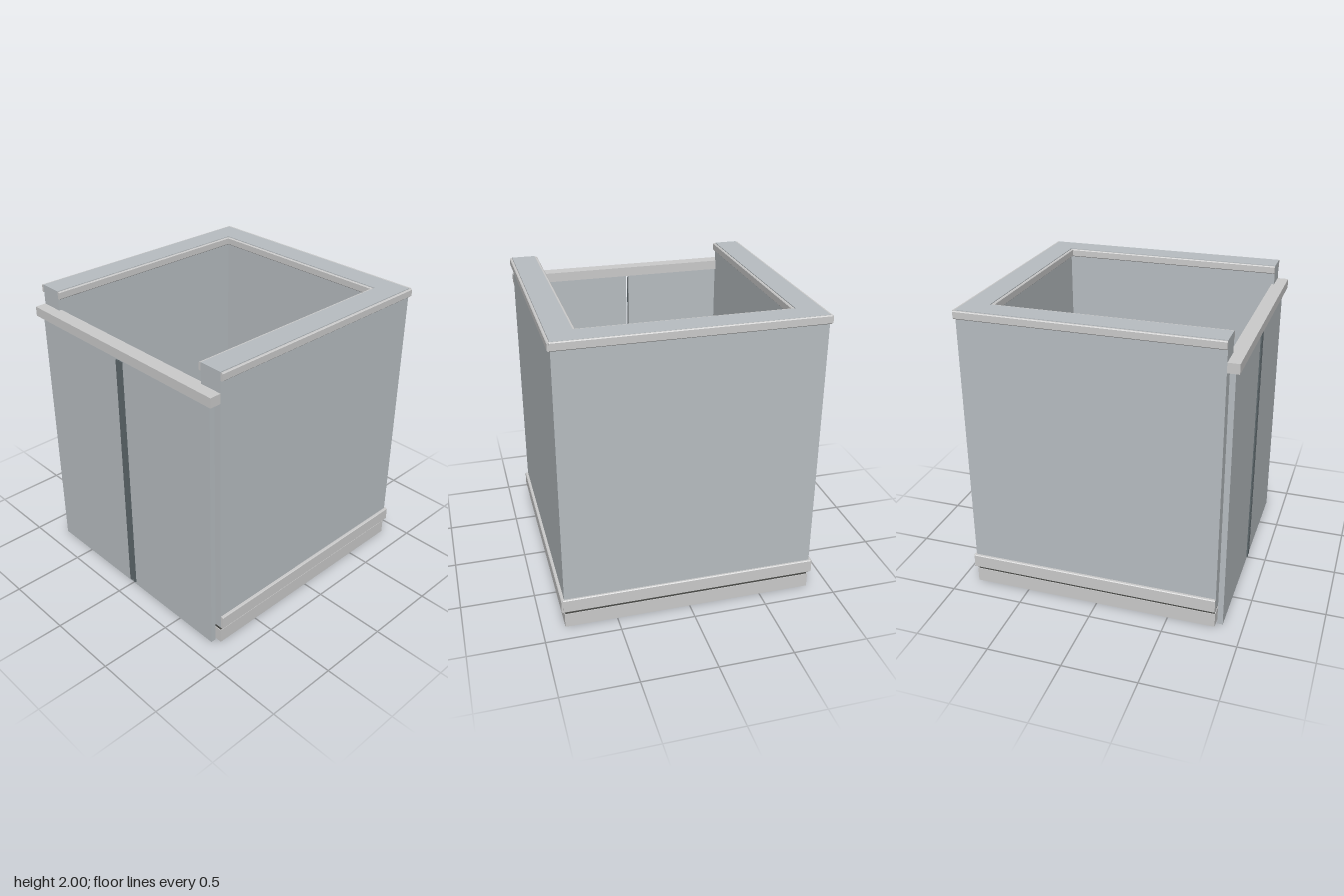
import * as THREE from 'three';

export function createModel() {
  const model = new THREE.Group();
  const material = (color) => new THREE.MeshStandardMaterial({ color });
  const steel = material(0xb8bec2);
  const trim = material(0xcccccc);
  const floorDark = material(0x4c4d49);
  const sealDark = material(0x5e686c);

  // Box given by its extents on each axis
  function box(name, mat, [x0, x1], [y0, y1], [z0, z1], parent = model) {
    const mesh = new THREE.Mesh(new THREE.BoxGeometry(x1 - x0, y1 - y0, z1 - z0), mat);
    mesh.position.set((x0 + x1) / 2, (y0 + y1) / 2, (z0 + z1) / 2);
    mesh.name = name;
    parent.add(mesh);
    return mesh;
  }
  // The same box on both sides of x = 0
  function pair(name, mat, [x0, x1], y, z) {
    box(name + 'Left', mat, [x0, x1], y, z);
    box(name + 'Right', mat, [-x1, -x0], y, z);
  }
  // Trim strip with chamfered long edges, extruded along x or z
  function strip(name, [x0, x1], [y0, y1], [z0, z1]) {
    const alongX = x1 - x0 > z1 - z0;
    const w = (alongX ? z1 - z0 : x1 - x0) / 2;
    const h = (y1 - y0) / 2;
    const c = 0.005;
    const length = alongX ? x1 - x0 : z1 - z0;
    const shape = new THREE.Shape([
      [-w + c, -h], [w - c, -h], [w, -h + c], [w, h - c],
      [w - c, h], [-w + c, h], [-w, h - c], [-w, -h + c],
    ].map(([x, y]) => new THREE.Vector2(x, y)));
    const geometry = new THREE.ExtrudeGeometry(shape, { depth: length, bevelEnabled: false });
    geometry.translate(0, 0, -length / 2);
    if (alongX) geometry.rotateY(Math.PI / 2);
    const mesh = new THREE.Mesh(geometry, trim);
    mesh.position.set((x0 + x1) / 2, (y0 + y1) / 2, (z0 + z1) / 2);
    mesh.name = name;
    model.add(mesh);
  }

  const back = -0.88, front = 0.82;
  const wallY = [0.125, 1.95];

  // Base plinth and the floor slab above it
  box('base', trim, [-0.85, 0.85], [0, 0.1], [back, front]);
  box('floor', floorDark, [-0.845, 0.845], [0.1, 0.125], [back + 0.005, front - 0.005]);

  // Thick walls with corner posts
  pair('sideWall', steel, [0.69, 0.85], wallY, [-0.725, front]);
  pair('cornerPost', steel, [0.69, 0.85], wallY, [back, -0.725]);
  box('backWall', steel, [-0.69, 0.69], wallY, [back, -0.72]);

  // Top caps
  pair('sideCap', steel, [0.69, 0.85], [1.95, 2], [-0.72, front]);
  box('backCap', steel, [-0.85, 0.85], [1.95, 2], [back, -0.72]);

  // Cap edging and lower bumper rails
  for (const s of [-1, 1]) {
    const side = s > 0 ? 'Left' : 'Right';
    const span = (a, b) => (s > 0 ? [a, b] : [-b, -a]);
    strip('capOuterEdge' + side, span(0.848, 0.868), [1.945, 1.997], [-0.888, front]);
    strip('capInnerEdge' + side, span(0.672, 0.692), [1.945, 1.997], [-0.71, front]);
    strip('sideBumper' + side, span(0.845, 0.87), [0.125, 0.22], [-0.89, front]);
  }
  strip('capBackEdge', [-0.855, 0.855], [1.945, 2], [-0.896, -0.878]);
  strip('capBackInnerEdge', [-0.68, 0.68], [1.945, 1.997], [-0.722, -0.702]);
  strip('backBumper', [-0.86, 0.86], [0.125, 0.22], [-0.896, -0.875]);

  // Sliding doors with dark meeting-edge seals and the header above
  pair('door', steel, [0.01, 0.81], [0, 1.8], [0.829, 0.866]);
  pair('doorSeal', sealDark, [0.008, 0.028], [0.02, 1.77], [0.86, 0.875]);
  box('doorHeader', trim, [-0.85, 0.85], [1.8, 1.865], [0.802, 0.896]);

  // Handrail on the back wall
  const handrail = new THREE.Group();
  handrail.name = 'handrail';
  const bar = new THREE.Mesh(new THREE.CylinderGeometry(0.021, 0.021, 1.36, 20), steel);
  bar.name = 'handrailBar';
  bar.rotation.z = Math.PI / 2;
  bar.position.set(0, 0.945, -0.674);
  handrail.add(bar);
  for (const x of [-0.5, 0, 0.5]) {
    box('handrailBracket', steel, [x - 0.012, x + 0.012], [0.933, 0.957], [-0.722, -0.68], handrail);
  }
  model.add(handrail);

  // Control panel with a column of buttons
  box('controlPanel', sealDark, [0.57, 0.67], [1.02, 1.4], [-0.722, -0.692]);
  for (let i = 0; i < 5; i++) {
    const button = new THREE.Mesh(new THREE.CylinderGeometry(0.012, 0.012, 0.012, 16), trim);
    button.name = 'controlButton';
    button.rotation.x = Math.PI / 2;
    button.position.set(0.62, 1.08 + i * 0.06, -0.687);
    model.add(button);
  }

  return model;
}
